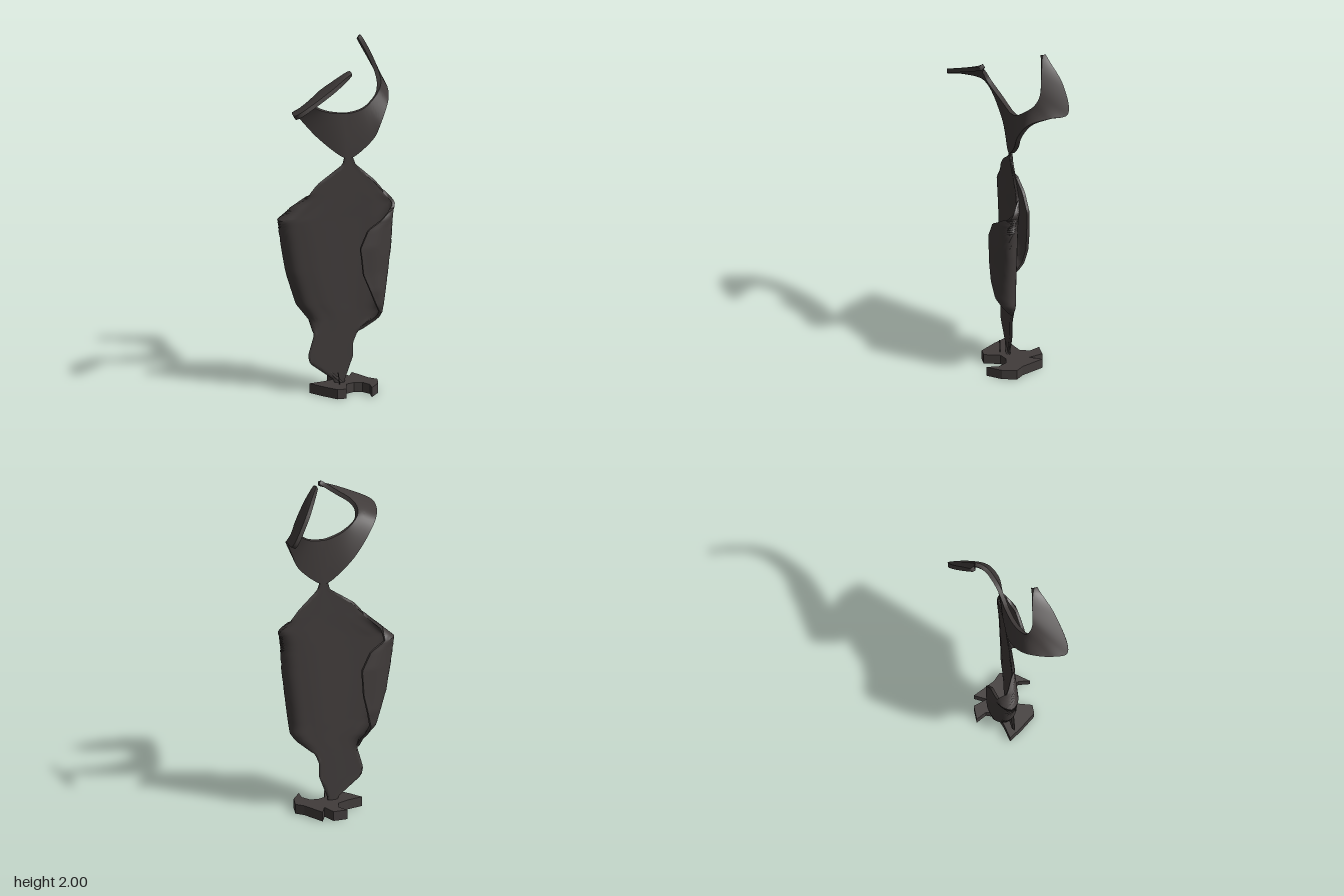
import * as THREE from 'three';
import { toCreasedNormals } from 'three/addons/utils/BufferGeometryUtils.js';

const V = (x, y, z) => new THREE.Vector3(x, y, z);

// Thickens a grid of points (rows going up, columns going towards +x) into a closed shell.
function shell(grid, half) {
  const n = grid.length, m = grid[0].length, ring = 2 * m;
  const pos = [], idx = [];
  grid.forEach((row, i) => {
    const front = [], back = [];
    row.forEach((p, j) => {
      const du = row[Math.min(j + 1, m - 1)].clone().sub(row[Math.max(j - 1, 0)]);
      const dv = grid[Math.min(i + 1, n - 1)][j].clone().sub(grid[Math.max(i - 1, 0)][j]);
      const normal = du.cross(dv).normalize().multiplyScalar(half);
      front.push(p.clone().add(normal));
      back.unshift(p.clone().sub(normal));
    });
    [...front, ...back].forEach((p) => pos.push(p.x, p.y, p.z));
  });
  const quad = (a, b, c, d) => idx.push(a, b, c, a, c, d);
  for (let i = 0; i < n - 1; i++) {
    for (let k = 0; k < ring; k++) {
      const l = (k + 1) % ring, r = i * ring;
      quad(r + k, r + l, r + ring + l, r + ring + k);
    }
  }
  const top = (n - 1) * ring;
  for (let j = 0; j < m - 1; j++) {
    quad(top + j, top + j + 1, top + ring - 2 - j, top + ring - 1 - j);
    quad(ring - 1 - j, ring - 2 - j, j + 1, j);
  }
  const g = new THREE.BufferGeometry();
  g.setAttribute('position', new THREE.Float32BufferAttribute(pos, 3));
  g.setIndex(idx);
  return toCreasedNormals(g, 0.9);
}

// Linear lookup in a short [height, value] profile, held constant past its ends.
function at(profile, y) {
  const k = profile.findIndex((p) => p[0] >= y);
  if (k === 0) return profile[0][1];
  if (k < 0) return profile[profile.length - 1][1];
  const [y0, v0] = profile[k - 1], [y1, v1] = profile[k];
  return v0 + ((v1 - v0) * (y - y0)) / (y1 - y0);
}

// Body silhouette, and how far each rolled edge folds back (inset) and stands out (depth)
const LEFT = [[0.04, 0.02], [0.08, 0.025], [0.2, 0.075], [0.28, 0.075], [0.34, 0.1], [0.42, 0.195],
  [0.46, 0.225], [0.8, 0.27], [1, 0.287], [1.08, 0.3], [1.2, 0.2], [1.3, 0.085], [1.35, 0.068]];
const RIGHT = [[0.04, -0.012], [0.08, -0.03], [0.18, -0.165], [0.22, -0.175], [0.34, -0.14],
  [0.42, -0.155], [0.51, -0.225], [0.7, -0.285], [1, -0.335], [1.12, -0.195], [1.2, -0.125],
  [1.3, 0.025], [1.35, 0.038]];
const INSET = [[0.44, 0], [0.51, 0.05], [0.6, 0.1], [0.7, 0.155], [0.85, 0.19], [0.95, 0.15],
  [1, 0.07], [1.06, 0]];
const DEPTH = [[0.34, 0], [0.42, 0.05], [0.51, 0.11], [0.6, 0.125], [0.85, 0.125], [0.95, 0.112],
  [1, 0.097], [1.07, 0.045], [1.15, 0]];

// One side of a body section, from the flat middle out to the rolled free edge.
function curl(y, outer, width, sign, fullness) {
  const d = Math.max(at(DEPTH, y) * fullness, 0.003), bend = Math.min(0.12, width * 0.3);
  const inset = at(INSET, y);
  return [
    V(outer - sign * bend, y, 0),
    V(outer - sign * bend * 0.25, y, sign * d * 0.12),
    V(outer, y, sign * d * 0.45),
    V(outer - sign * inset * 0.4, y, sign * d * 0.88),
    V(outer - sign * inset, y, sign * d),
  ];
}

function bodyGeometry() {
  const rows = [], count = 90;
  for (let i = 0; i <= count; i++) {
    const y = 0.04 + (1.31 * i) / count;
    const right = at(RIGHT, y), left = at(LEFT, y), width = left - right;
    const section = [...curl(y, right, width, -1, 1.12).reverse(), ...curl(y, left, width, 1, 1)];
    rows.push(new THREE.CatmullRomCurve3(section).getSpacedPoints(56));
  }
  return shell(rows, 0.008);
}

// Forked crown: lofted between its lower (outer) and upper (inner) edge, tip to tip.
function crownGeometry() {
  const outer = [
    [0.025, 1.87, 0.165], [-0.12, 1.795, 0.24], [-0.32, 1.685, 0.272], [-0.318, 1.67, 0.18],
    [-0.27, 1.64, 0.07], [-0.12, 1.47, 0], [0.035, 1.345, 0], [0.07, 1.345, 0], [0.2, 1.45, 0],
    [0.245, 1.54, -0.01], [0.29, 1.63, -0.06], [0.315, 1.67, -0.16], [0.322, 1.69, -0.262],
    [0.25, 1.83, -0.255], [0.155, 1.985, -0.17],
  ];
  const inner = [
    [0.02, 1.885, 0.145], [-0.07, 1.82, 0.124], [-0.145, 1.765, 0.112], [-0.17, 1.725, 0.092],
    [-0.162, 1.68, 0.07], [-0.08, 1.63, 0.03], [0.03, 1.604, 0.003], [0.07, 1.604, -0.002],
    [0.14, 1.618, -0.015], [0.19, 1.648, -0.034], [0.235, 1.69, -0.062], [0.255, 1.735, -0.095],
    [0.25, 1.79, -0.122], [0.21, 1.895, -0.138], [0.16, 1.993, -0.152],
  ];
  const [low, high] = [outer, inner].map((edge) =>
    new THREE.CatmullRomCurve3(edge.map((p) => V(...p))).getPoints(112));
  const rows = [];
  for (let i = 0; i <= 12; i++) rows.push(low.map((p, j) => p.clone().lerp(high[j], i / 12)));
  return shell(rows, 0.012);
}

// Irregular foot plate, drawn in plan as x, z.
function baseGeometry() {
  const plan = [
    [-0.02, -0.178], [0.01, -0.12], [-0.01, -0.065], [-0.08, -0.038], [-0.165, -0.02],
    [-0.12, 0.05], [-0.05, 0.14], [0, 0.14], [0.028, 0.05], [0.075, 0.03], [0.12, 0.042],
    [0.15, 0.09], [0.142, 0.155], [0.2, 0.08], [0.22, 0], [0.18, -0.04], [0.12, -0.165],
    [0.085, -0.1], [0.06, -0.178],
  ];
  const shape = new THREE.Shape(plan.map(([x, z]) => new THREE.Vector2(x, -z)));
  return new THREE.ExtrudeGeometry(shape, { depth: 0.055, bevelEnabled: false }).rotateX(-Math.PI / 2);
}

export function createModel() {
  const model = new THREE.Group();
  const bronze = new THREE.MeshStandardMaterial({ color: 0x413c3b });
  bronze.name = 'dark bronze';
  const add = (name, geometry) => {
    const mesh = new THREE.Mesh(geometry, bronze);
    mesh.name = name;
    model.add(mesh);
  };
  add('foldedBody', bodyGeometry());
  add('forkedCrown', crownGeometry());
  add('footPlate', baseGeometry());

  // Thin splinters joining the body to the foot
  const splinter = (name, from, to, radius) =>
    add(name, new THREE.TubeGeometry(new THREE.LineCurve3(V(...from), V(...to)), 1, radius, 6));
  splinter('footStrut', [-0.065, 0.13, 0], [0.02, 0.045, 0.01], 0.008);
  splinter('footSplinter', [-0.02, 0.125, 0.045], [-0.01, 0.05, 0.045], 0.003);
  return model;
}
